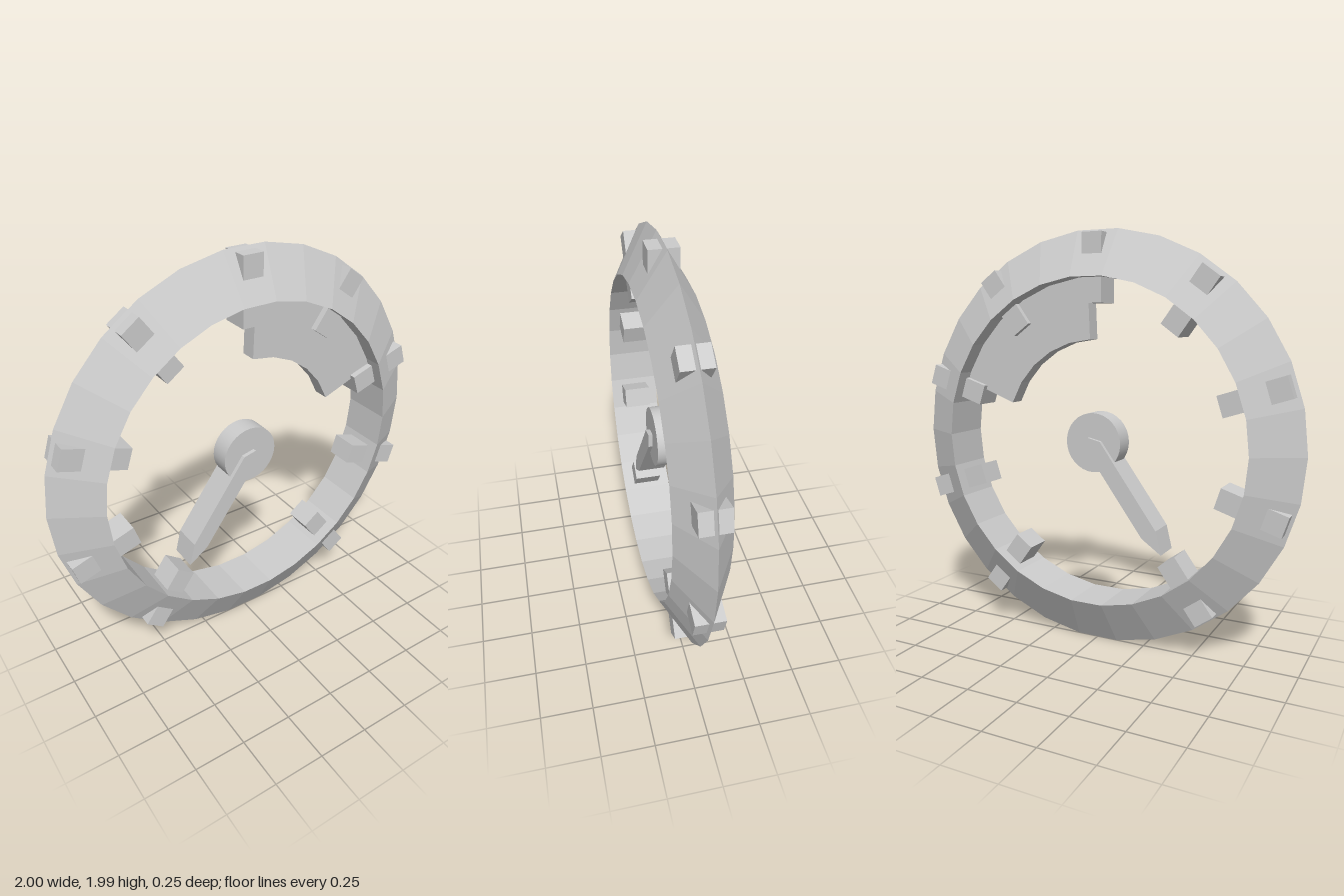
import * as THREE from 'three';

const CENTRE_Y = 0.997;
const material = new THREE.MeshStandardMaterial({ color: 0xcccccc, flatShading: true });
const smooth = new THREE.MeshStandardMaterial({ color: 0xcccccc });

function part(name, geometry, mat = material) {
  const mesh = new THREE.Mesh(geometry, mat);
  mesh.name = name;
  return mesh;
}

// Flat plate from a shape, centred on z = 0
function plate(points, depth) {
  const shape = new THREE.Shape(points);
  const geometry = new THREE.ExtrudeGeometry(shape, { depth, bevelEnabled: false });
  return geometry.translate(0, 0, -depth / 2);
}

// Point on the dial, angle in degrees clockwise from the top
function polar(radius, degrees) {
  const a = THREE.MathUtils.degToRad(degrees);
  return new THREE.Vector2(radius * Math.sin(a), radius * Math.cos(a));
}

export function createModel() {
  const model = new THREE.Group();
  model.name = 'dial';
  const dial = new THREE.Group();
  dial.name = 'dialFace';
  dial.position.y = CENTRE_Y;
  model.add(dial);

  // Rim with a triangular section
  dial.add(part('rim', new THREE.TorusGeometry(0.853, 0.147, 3, 30)));

  // Nine tick bars passing through the rim, open at the bottom
  const ticks = new THREE.Group();
  ticks.name = 'ticks';
  const inner = 0.658, outer = 0.979;
  const bar = new THREE.BoxGeometry(0.102, outer - inner, 0.136).translate(0, (inner + outer) / 2, 0.002);
  for (let i = -4; i <= 4; i++) {
    const tick = part('tick', bar);
    tick.rotation.z = -i * Math.PI / 5;
    ticks.add(tick);
  }
  dial.add(ticks);

  // Arc plate marking one zone of the dial
  const from = 2.5, to = 69.5, steps = 5;
  const zone = [];
  for (let i = 0; i <= steps; i++) zone.push(polar(0.49, from + (to - from) * i / steps));
  for (let i = steps; i >= 0; i--) zone.push(polar(0.85, from + (to - from) * i / steps));
  dial.add(part('zonePlate', plate(zone, 0.078)));

  // Hub
  dial.add(part('hub', new THREE.CylinderGeometry(0.143, 0.143, 0.1, 32).rotateX(Math.PI / 2), smooth));

  // Pointed needle
  const needle = [
    [0.02, 0.025], [-0.045, 0.01], [-0.335, -0.39],
    [-0.363, -0.503], [-0.265, -0.435], [0.02, -0.045],
  ].map(([x, y]) => new THREE.Vector2(x, y));
  dial.add(part('needle', plate(needle, 0.14)));

  return model;
}
